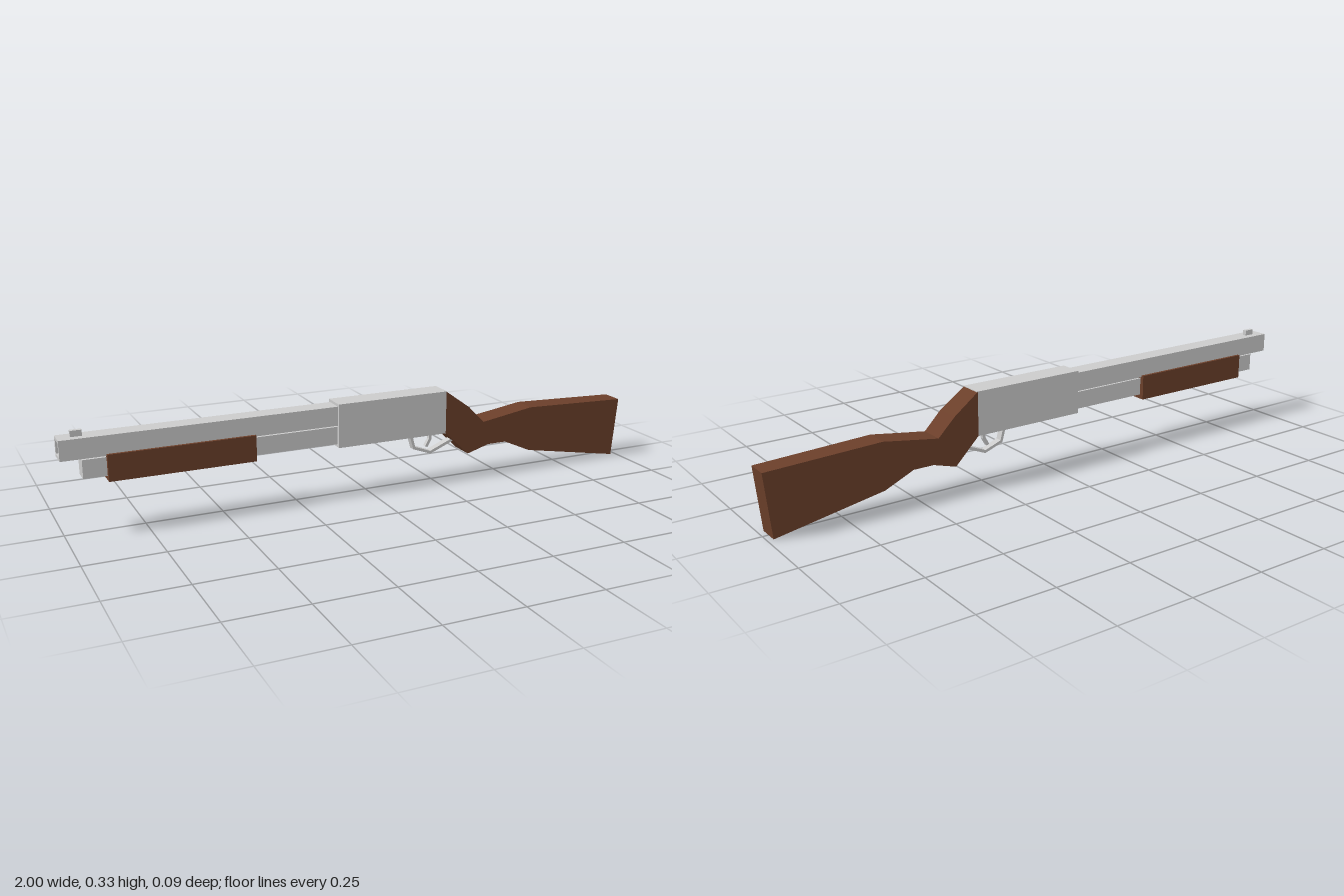
import * as THREE from 'three';

const metal = new THREE.MeshStandardMaterial({ color: 0xcccccc, flatShading: true });
const wood = new THREE.MeshStandardMaterial({ color: 0x6b3f2a, flatShading: true });

function addMesh(group, name, geometry, material) {
  const mesh = new THREE.Mesh(geometry, material);
  mesh.name = name;
  group.add(mesh);
  return mesh;
}

// Box given by its extents in x and y and its half width in z
function addBox(group, name, material, x0, x1, y0, y1, halfWidth) {
  const mesh = addMesh(group, name, new THREE.BoxGeometry(x1 - x0, y1 - y0, halfWidth * 2), material);
  mesh.position.set((x0 + x1) / 2, (y0 + y1) / 2, 0);
  return mesh;
}

// Closed loft through rectangular sections [upperX, upperY, lowerX, lowerY, halfWidth]
function loft(sections) {
  const positions = [];
  const index = [];
  for (const [ux, uy, lx, ly, w] of sections) {
    positions.push(ux, uy, w, ux, uy, -w, lx, ly, -w, lx, ly, w);
  }
  for (let i = 0; i < sections.length - 1; i++) {
    for (let k = 0; k < 4; k++) {
      const a = i * 4 + k, b = i * 4 + (k + 1) % 4;
      index.push(a, a + 4, b, b, a + 4, b + 4);
    }
  }
  const e = (sections.length - 1) * 4;
  index.push(0, 1, 2, 0, 2, 3, e, e + 2, e + 1, e, e + 3, e + 2);
  const geometry = new THREE.BufferGeometry();
  geometry.setAttribute('position', new THREE.Float32BufferAttribute(positions, 3));
  geometry.setIndex(index);
  const flat = geometry.toNonIndexed();
  flat.computeVertexNormals();
  return flat;
}

// Bent strip of even thickness along a polyline in the xy plane
function strip(points, thickness, halfWidth) {
  return loft(points.map(([x, y], i) => {
    const p = points[Math.max(i - 1, 0)];
    const n = points[Math.min(i + 1, points.length - 1)];
    const dx = n[0] - p[0], dy = n[1] - p[1];
    const s = thickness / 2 / Math.hypot(dx, dy);
    return [x - dy * s, y + dx * s, x + dy * s, y - dx * s, halfWidth];
  }));
}

function squarePath(path, r) {
  path.moveTo(-r, -r);
  path.lineTo(r, -r);
  path.lineTo(r, r);
  path.lineTo(-r, r);
  path.closePath();
  return path;
}

export function createModel() {
  const group = new THREE.Group();
  group.name = 'pumpShotgun';

  // Square barrel with an open bore
  const section = squarePath(new THREE.Shape(), 0.032);
  section.holes.push(squarePath(new THREE.Path(), 0.022));
  const barrelGeometry = new THREE.ExtrudeGeometry(section, { depth: 0.9, bevelEnabled: false });
  barrelGeometry.rotateY(Math.PI / 2);
  addMesh(group, 'barrel', barrelGeometry, metal).position.set(-1, 0.276, 0);

  addBox(group, 'frontSight', metal, -0.96, -0.925, 0.305, 0.327, 0.007);
  addBox(group, 'magazineTube', metal, -0.935, -0.1, 0.18, 0.239, 0.027);
  addBox(group, 'pumpGrip', wood, -0.862, -0.395, 0.165, 0.25, 0.042);
  addBox(group, 'receiver', metal, -0.112, 0.285, 0.17, 0.317, 0.04);

  // Trigger and its guard
  addMesh(group, 'triggerGuard',
    strip([[0.164, 0.175], [0.178, 0.123], [0.24, 0.1], [0.328, 0.136]], 0.01, 0.012), metal);
  addMesh(group, 'trigger',
    strip([[0.244, 0.175], [0.241, 0.145], [0.227, 0.12]], 0.01, 0.007), metal);

  // Stock: wrist, grip and butt
  addMesh(group, 'stock', loft([
    [0.283, 0.316, 0.283, 0.171, 0.04],
    [0.37, 0.253, 0.37, 0.087, 0.043],
    [0.43, 0.193, 0.45, 0.11, 0.042],
    [0.51, 0.205, 0.52, 0.11, 0.041],
    [0.62, 0.222, 0.62, 0.065, 0.04],
    [1, 0.208, 0.981, 0, 0.037],
  ]), wood);

  return group;
}
